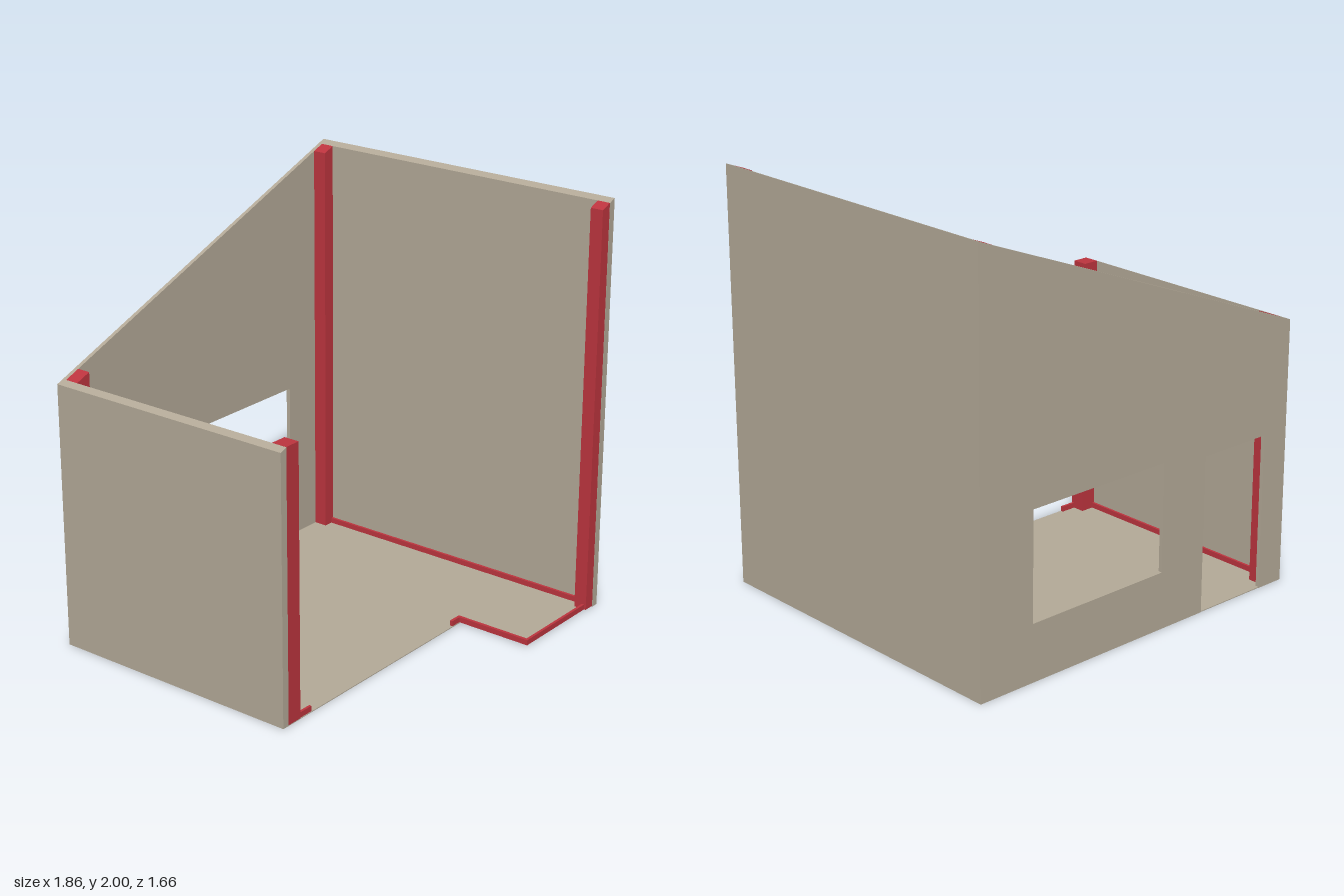
import * as THREE from 'three';

export function createModel() {
  const model = new THREE.Group();
  model.name = 'openShelter';

  const wallMat = new THREE.MeshStandardMaterial({ color: 0xb3a997 });
  wallMat.name = 'wallTan';
  const frameMat = new THREE.MeshStandardMaterial({ color: 0xbc343e });
  frameMat.name = 'frameRed';

  // Height of the sloping roof line at a given x
  const roofY = (x) => 1.275 + ((x + 0.933) * 0.725) / 1.863;

  const add = (name, geometry, material) => {
    const mesh = new THREE.Mesh(geometry, material);
    mesh.name = name;
    model.add(mesh);
  };
  const polygon = (points) => new THREE.Shape(points.map(([x, y]) => new THREE.Vector2(x, y)));
  const extrude = (shape, depth) => new THREE.ExtrudeGeometry(shape, { depth, bevelEnabled: false });

  // Upright prism from z0 to z1 whose top follows the given heights
  const upright = (name, x0, x1, z0, z1, material, y0, top0 = roofY(x0), top1 = roofY(x1)) => {
    const shape = polygon([[x0, y0], [x1, y0], [x1, top1], [x0, top0]]);
    add(name, extrude(shape, z1 - z0).translate(0, 0, z0), material);
  };

  // Floor slab, with a notch in the front
  const floorT = 0.004;
  const floor = polygon([
    [-0.933, 0.83], [-0.933, -0.445], [0.37, -0.44], [0.37, -0.815],
    [0.93, -0.815], [0.93, 0.83],
  ]);
  add('floor', extrude(floor, floorT).rotateX(-Math.PI / 2), wallMat);

  // Back wall with a doorway cut to the ground and a window
  const back = polygon([
    [-0.933, 0], [-0.79, 0], [-0.79, 0.755], [-0.4, 0.755], [-0.4, 0],
    [0.93, 0], [0.93, 2], [-0.933, 1.275],
  ]);
  back.holes.push(new THREE.Path([
    [-0.14, 0.275], [-0.14, 0.795], [0.635, 0.795], [0.635, 0.275],
  ].map(([x, y]) => new THREE.Vector2(x, y))));
  add('backWall', extrude(back, 0.02).translate(0, 0, -0.832), wallMat);

  // Side walls
  upright('rightWall', -0.933, -0.897, -0.812, 0.445, wallMat, 0);
  upright('leftWall', 0.893, 0.93, -0.812, 0.83, wallMat, 0);

  // Corner posts
  upright('backRightPost', -0.897, -0.82, -0.812, -0.745, frameMat, floorT);
  upright('frontRightPost', -0.897, -0.818, 0.37, 0.445, frameMat, floorT, 1.29, 1.29);
  upright('backLeftPost', 0.833, 0.893, -0.812, -0.745, frameMat, floorT);
  upright('frontLeftPost', 0.838, 0.893, 0.765, 0.829, frameMat, floorT);

  // Low sill strips along the floor edges
  const sills = [
    ['rightSill', -0.897, -0.885, -0.745, 0.37],
    ['leftSill', 0.88, 0.893, -0.745, 0.765],
    ['frontRightSill', -0.818, -0.74, 0.43, 0.442],
    ['notchBackSill', 0.305, 0.36, 0.424, 0.438],
    ['notchSideSill', 0.36, 0.375, 0.424, 0.82],
    ['frontSill', 0.375, 0.838, 0.807, 0.82],
  ];
  for (const [name, x0, x1, z0, z1] of sills) {
    upright(name, x0, x1, z0, z1, frameMat, floorT, 0.03, 0.03);
  }

  return model;
}
